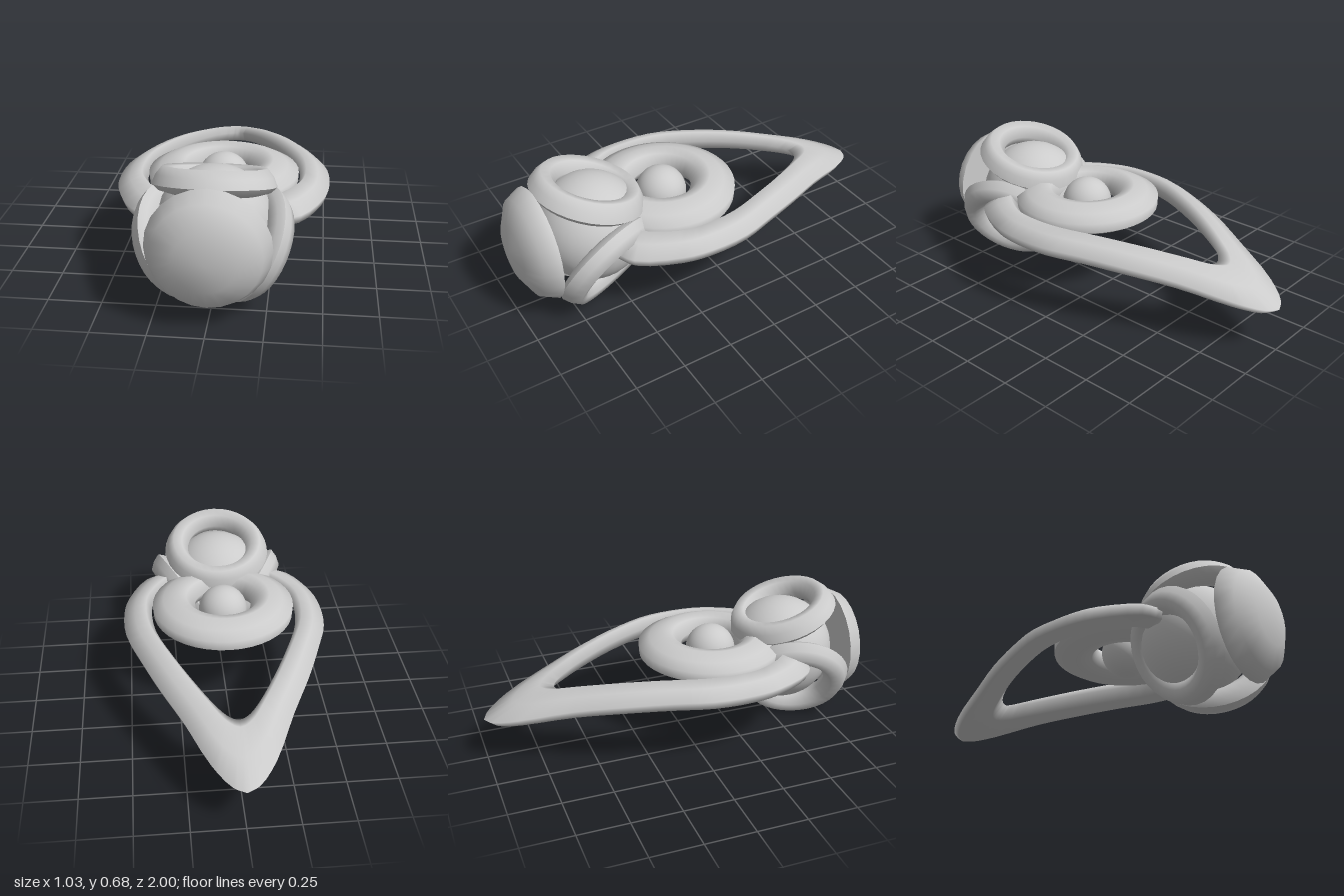
import * as THREE from 'three';

export function createModel() {
  const model = new THREE.Group();
  const material = new THREE.MeshStandardMaterial({ color: 0xcccccc });
  const thin = new THREE.MeshStandardMaterial({ color: 0xcccccc, side: THREE.DoubleSide });

  function add(name, geometry, x, y, z, parent = model, mat = material) {
    const mesh = new THREE.Mesh(geometry, mat);
    mesh.name = name;
    mesh.position.set(x, y, z);
    parent.add(mesh);
    return mesh;
  }
  const lathe = (pts, segments) =>
    new THREE.LatheGeometry(pts.map(p => new THREE.Vector2(...p)), segments);

  // Round body
  add('bodySphere', new THREE.SphereGeometry(0.268, 32, 20), 0, 0.345, 0.575);

  // Shallow front dome with a flat back
  const dome = new THREE.SphereGeometry(0.28, 24, 3, 0, Math.PI * 2, 0, Math.PI / 2);
  dome.scale(1, 0.155 / 0.28, 1).rotateX(Math.PI / 2);
  add('frontDome', dome, 0, 0.347, 0.845);
  add('frontDomeBack', new THREE.CircleGeometry(0.28, 24).rotateY(Math.PI), 0, 0.347, 0.845);

  // Three tilted rings spaced evenly around the body
  const ringProfile = [[0.281, -0.02], [0.264, 0.023], [0.235, 0.06], [0.19, 0.053], [0.153, 0.005],
    [0.165, -0.04], [0.205, -0.06], [0.255, -0.045], [0.281, -0.02]];
  for (let i = 0; i < 3; i++) {
    const pivot = new THREE.Group();
    pivot.name = 'bodyRingMount';
    pivot.position.set(0, 0.345, 0.575);
    pivot.rotation.z = i * Math.PI * 2 / 3;
    model.add(pivot);
    const ring = add('bodyRing', lathe(ringProfile, 32), 0, 0.206, 0, pivot);
    ring.rotation.x = -0.32;
  }

  // Thick rear ring and the ball at its centre
  add('rearRing', lathe([[0.362, -0.05], [0.365, 0], [0.31, 0.03], [0.24, 0.057], [0.19, 0.045],
    [0.145, -0.01], [0.175, -0.065], [0.25, -0.085], [0.32, -0.075], [0.362, -0.05]], 40),
    0, 0.44, 0.175);
  add('rearBall', new THREE.SphereGeometry(0.126, 28, 18), 0, 0.4, 0.178);

  // Teardrop frame: outer and inner edges of one half as [outerX, outerZ, innerX, innerZ]
  const half = [
    [0.3, 0.59, 0.2, 0.47], [0.39, 0.545, 0.265, 0.42], [0.49, 0.345, 0.35, 0.29],
    [0.515, 0.2, 0.37, 0.19], [0.505, 0, 0.355, 0], [0.447, -0.18, 0.28, -0.21],
    [0.365, -0.39, 0.185, -0.41], [0.26, -0.61, 0.105, -0.55], [0.145, -0.86, 0.055, -0.615],
    [0.06, -0.97, 0.02, -0.64], [0, -1, 0, -0.645],
  ];
  const edge = k => new THREE.CatmullRomCurve3(
    half.map(p => new THREE.Vector3(p[k], 0, p[k + 1])), false, 'centripetal');
  const outer = edge(0), inner = edge(2);
  const steps = 30;
  const stations = [];
  for (let i = 0; i <= steps; i++) {
    stations.push([outer.getPoint(i / steps), inner.getPoint(i / steps)]);
  }
  const flip = v => new THREE.Vector3(-v.x, v.y, v.z);
  for (let i = steps - 1; i >= 0; i--) stations.push(stations[i].map(flip));

  // Cross-section: [position from inner to outer edge, height]
  const section = [[1, -0.008], [0.9, -0.052], [0.2, -0.05], [0, 0.01], [0.2, 0.055], [0.6, 0.035]];
  const n = section.length;
  const positions = [], index = [];
  stations.forEach(([o, inn], j) => {
    for (const [t, h] of section) {
      const p = inn.clone().lerp(o, t);
      const back = Math.max(0, -p.z);
      const taper = h > 0 ? 0.5 : 0.15;
      const y = 0.39 - 0.17 * back * back + h * (1 - taper * back * back);
      positions.push(p.x, y, p.z);
    }
    if (j === stations.length - 1) return;
    for (let k = 0; k < n; k++) {
      const a = j * n + k, b = j * n + (k + 1) % n;
      index.push(a, b, a + n, b, b + n, a + n);
    }
  });
  // Close both front ends
  const last = (stations.length - 1) * n;
  for (let k = 1; k < n - 1; k++) index.push(0, k + 1, k, last, last + k, last + k + 1);
  const frame = new THREE.BufferGeometry();
  frame.setAttribute('position', new THREE.Float32BufferAttribute(positions, 3));
  frame.setIndex(index);
  frame.computeVertexNormals();
  add('teardropFrame', frame, 0, 0, 0, model, thin);

  return model;
}
